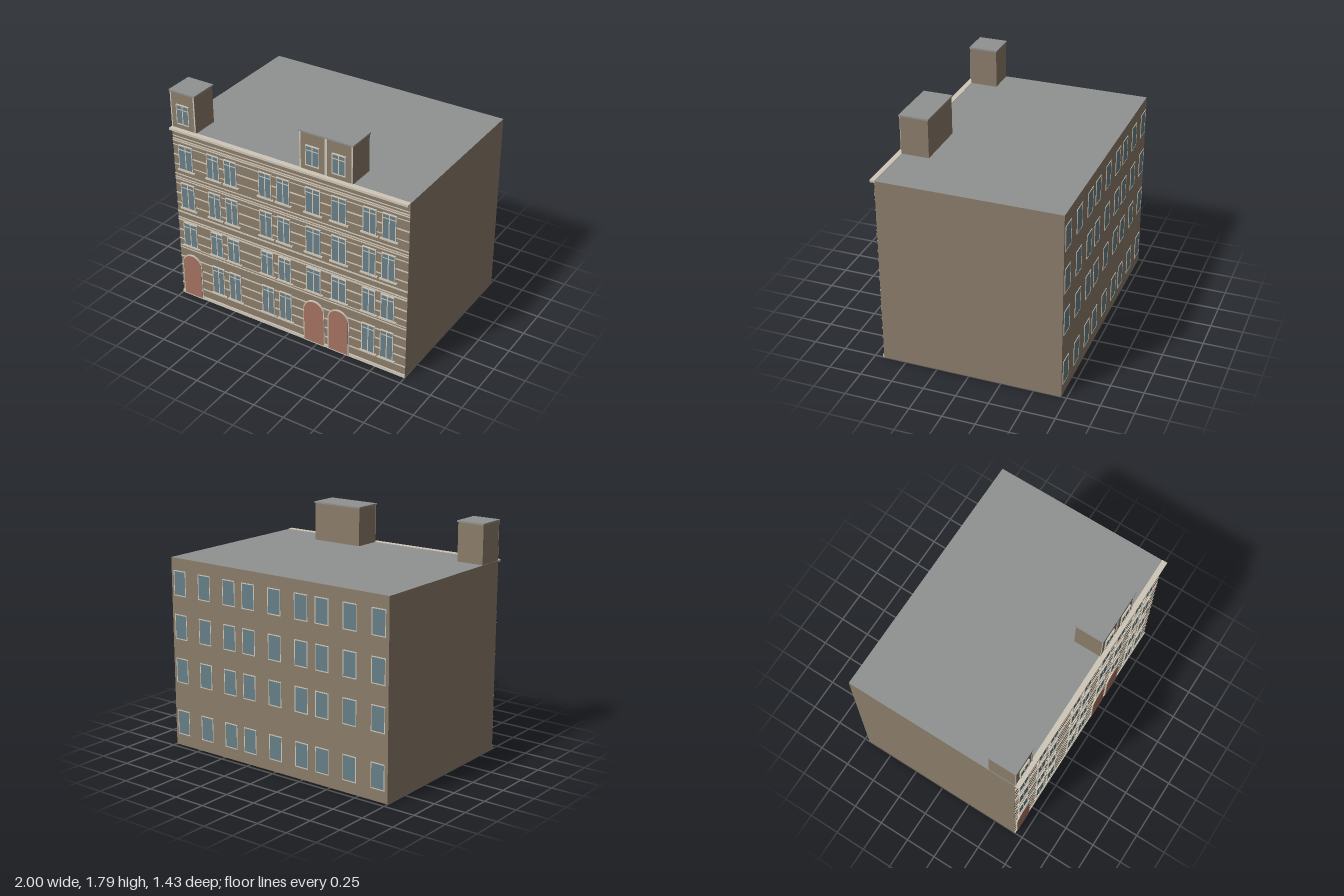
import * as THREE from 'three';

const mat = (name, color) => Object.assign(new THREE.MeshStandardMaterial({ color }), { name });

export function createModel() {
  const wall = mat('wall brown', 0x8a7c69);
  const trim = mat('cream trim', 0xcfc7b8);
  const glass = mat('window glass', 0x677e87);
  const door = mat('door red', 0xa3715f);
  const roof = mat('roof grey', 0x909291);
  const model = new THREE.Group();
  model.name = 'apartmentBuilding';

  // Box given by its extents
  const box = (name, x0, x1, y0, y1, z0, z1, material, parent = model) => {
    const mesh = new THREE.Mesh(new THREE.BoxGeometry(x1 - x0, y1 - y0, z1 - z0), material);
    mesh.position.set((x0 + x1) / 2, (y0 + y1) / 2, (z0 + z1) / 2);
    mesh.name = name;
    parent.add(mesh);
    return mesh;
  };
  const group = (name) => {
    const g = new THREE.Group();
    g.name = name;
    model.add(g);
    return g;
  };

  const FRONT = 0.677, BACK = -0.709;

  // Main block with a grey flat roof
  box('mainBlock', -1, 1, 0, 1.48, BACK, FRONT, [wall, wall, roof, wall, wall, wall]);
  box('cornice', -1, 1, 1.466, 1.484, FRONT - 0.005, 0.713, trim);
  box('plinth', -1, 1, 0, 0.026, FRONT, 0.686, trim);

  // Horizontal facade bands: [height, thickness]
  const bands = group('facadeBands');
  [[0.095, 0.01], [0.18, 0.01], [0.262, 0.01], [0.345, 0.01], [0.428, 0.008], [0.448, 0.006],
   [0.508, 0.008], [0.59, 0.011], [0.68, 0.012], [0.7, 0.01], [0.755, 0.012], [0.835, 0.008],
   [0.92, 0.01], [1.003, 0.006], [1.043, 0.008], [1.06, 0.008], [1.087, 0.008], [1.17, 0.006],
   [1.252, 0.01], [1.335, 0.006], [1.37, 0.009], [1.386, 0.009], [1.41, 0.006]]
    .forEach(([y, h]) => box('band', -1, 1, y - h / 2, y + h / 2, FRONT, 0.681, trim, bands));

  // Rectangular frame ring
  const frameGeometry = (w, h, t, depth) => {
    const ring = new THREE.Shape();
    ring.moveTo(-w / 2, 0).lineTo(w / 2, 0).lineTo(w / 2, h).lineTo(-w / 2, h).closePath();
    const hole = new THREE.Path();
    hole.moveTo(-w / 2 + t, t).lineTo(-w / 2 + t, h - t).lineTo(w / 2 - t, h - t).lineTo(w / 2 - t, t).closePath();
    ring.holes.push(hole);
    return new THREE.ExtrudeGeometry(ring, { depth, bevelEnabled: false });
  };

  // Window facing +z: pane, frame and optional glazing bars and sill
  const addWindow = (name, x, y, w, h, z, { bars = true, sill = false, depth = 0.011, back = false } = {}) => {
    const g = group(name);
    g.position.set(x, y, z);
    if (back) g.rotation.y = Math.PI;
    const t = 0.007;
    box('pane', -w / 2 + t, w / 2 - t, t, h - t, 0, depth * 0.6, glass, g);
    const frame = new THREE.Mesh(frameGeometry(w, h, t, depth), trim);
    frame.name = 'frame';
    g.add(frame);
    if (bars) {
      box('mullion', -0.004, 0.004, t, h - t, 0, depth * 0.85, trim, g);
      box('transom', -w / 2 + t, w / 2 - t, h - 0.042, h - 0.036, 0, depth * 0.85, trim, g);
    }
    if (sill) box('sill', -w / 2 - 0.016, w / 2 + 0.016, -0.009, 0.002, 0, 0.014, trim, g);
  };

  // Front windows: columns [x, width], rows [y, height]
  const columns = [[-0.887, 0.125], [-0.64, 0.11], [-0.484, 0.11], [-0.18, 0.11], [-0.025, 0.11],
    [0.226, 0.125], [0.441, 0.125], [0.69, 0.11], [0.845, 0.11]];
  const rows = [[0.11, 0.248], [0.462, 0.208], [0.8, 0.22], [1.137, 0.208]];
  rows.forEach(([y, h], floor) => columns.forEach(([x, w]) => {
    if (floor === 0 && w > 0.12) return; // doors stand here
    addWindow('frontWindow', x, y, w, h, FRONT, { sill: true });
  }));

  // Arched doors with cream surrounds
  const arch = (r, y0, spring) => {
    const s = new THREE.Shape();
    s.moveTo(-r, y0).lineTo(r, y0).lineTo(r, spring);
    s.absarc(0, spring, r, 0, Math.PI, false);
    s.closePath();
    return s;
  };
  [-0.888, 0.227, 0.439].forEach((x) => {
    [['doorSurround', 0.091, 0, 0.011, trim], ['doorLeaf', 0.083, 0.012, 0.014, door]]
      .forEach(([name, r, y0, depth, material]) => {
        const geo = new THREE.ExtrudeGeometry(arch(r, y0, 0.291), { depth, bevelEnabled: false, curveSegments: 16 });
        const mesh = new THREE.Mesh(geo, material);
        mesh.name = name;
        mesh.position.set(x, 0, FRONT);
        model.add(mesh);
      });
  });

  // Back windows
  [0.09, 0.507, 0.851, 1.19].forEach((y) =>
    [-0.916, -0.672, -0.43, -0.244, 0, 0.244, 0.43, 0.672, 0.916].forEach((x) =>
      addWindow('backWindow', x, y, 0.12, 0.195, BACK, { bars: false, depth: 0.004, back: true })));

  // Roof towers: extents, windows and vertical trim strips
  const addTower = (x0, x1, windows, strips) => {
    box('tower', x0, x1, 1.48, 1.775, 0.462, FRONT, wall);
    box('towerRoof', x0 - (x0 > -0.9 ? 0.007 : 0.004), x1 + 0.007, 1.775, 1.787, 0.455, 0.685, roof);
    strips.forEach(([a, b]) => box('towerStrip', a, b, 1.484, 1.775, FRONT, 0.681, trim));
    windows.forEach((x) => addWindow('towerWindow', x, 1.523, 0.112, 0.16, FRONT));
  };
  addTower(-0.996, -0.78, [-0.887], [[-0.996, -0.986], [-0.79, -0.78]]);
  addTower(0.12, 0.55, [0.226, 0.441], [[0.12, 0.13], [0.325, 0.345], [0.54, 0.55]]);

  return model;
}
